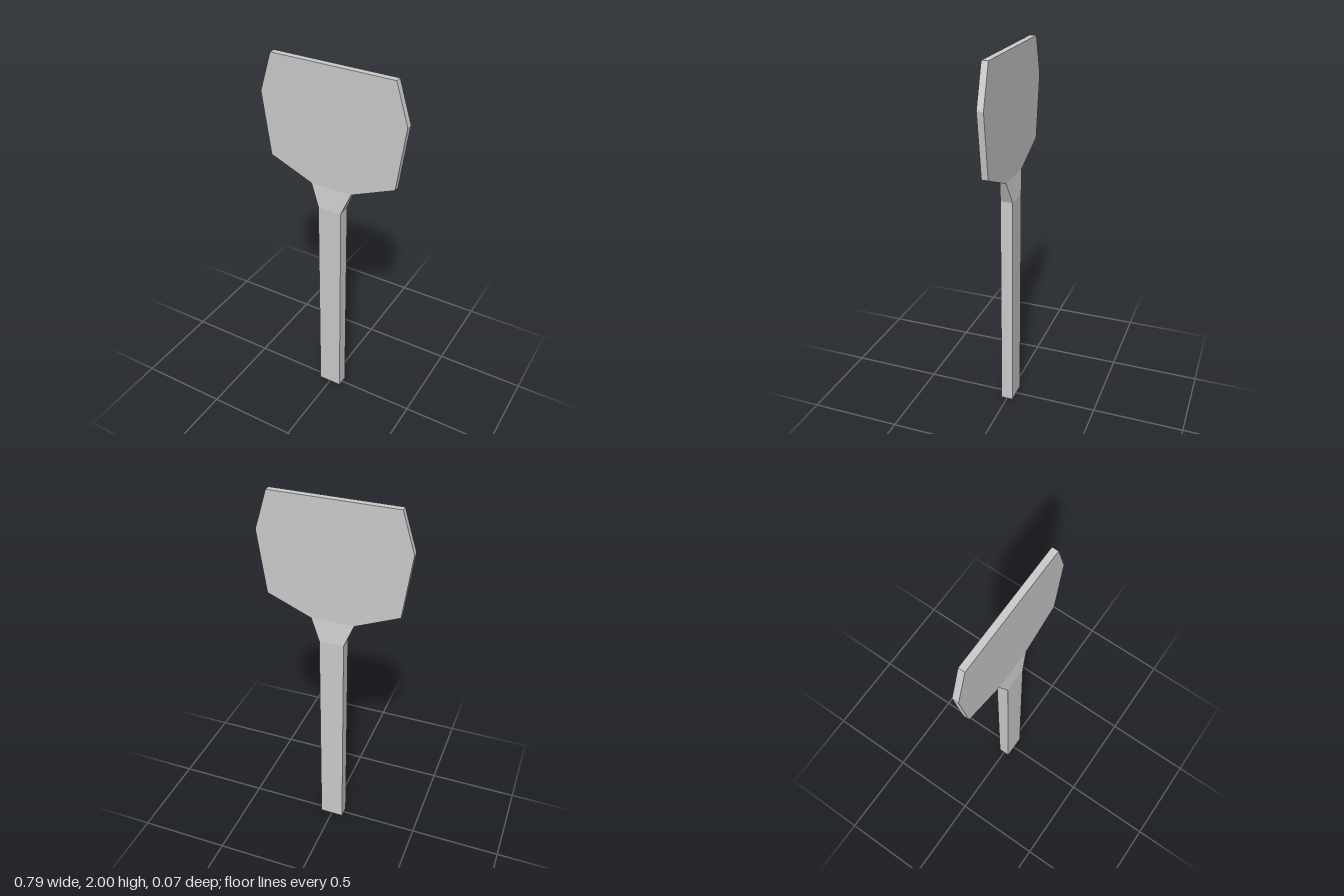
import * as THREE from 'three';

// Loft through rectangular sections [y, halfWidth, halfDepth], with optional end caps
function loft(sections, { bottom = false, top = false } = {}) {
  const rings = sections.map(([y, w, d]) => [[-w, y, d], [w, y, d], [w, y, -d], [-w, y, -d]]);
  const pos = [];
  const quad = (a, b, c, d) => pos.push(...a, ...b, ...c, ...a, ...c, ...d);
  for (let i = 0; i < rings.length - 1; i++) {
    const lo = rings[i], hi = rings[i + 1];
    for (let k = 0; k < 4; k++) {
      const n = (k + 1) % 4;
      quad(lo[k], lo[n], hi[n], hi[k]);
    }
  }
  if (bottom) quad(...[...rings[0]].reverse());
  if (top) quad(...rings[rings.length - 1]);
  const geometry = new THREE.BufferGeometry();
  geometry.setAttribute('position', new THREE.Float32BufferAttribute(pos, 3));
  geometry.computeVertexNormals();
  return geometry;
}

export function createModel() {
  const group = new THREE.Group();
  group.name = 'paddle';
  const grey = new THREE.MeshStandardMaterial({ color: 0xcccccc });
  grey.name = 'light grey';

  const add = (name, geometry) => {
    const mesh = new THREE.Mesh(geometry, grey);
    mesh.name = name;
    group.add(mesh);
  };

  // Sections shared between neighbouring parts
  const handleTop = [1.23, 0.066, 0.033];
  const neckTop = [1.35, 0.115, 0.017];

  // Straight square-edged grip
  add('handle', loft([[0, 0.066, 0.033], handleTop], { bottom: true }));
  // Flare that widens and thins into the blade
  add('neck', loft([handleTop, neckTop]));
  // Flat plate with angled shoulders and clipped upper corners
  add('blade', loft([neckTop, [1.45, 0.352, 0.017], [1.79, 0.397, 0.017], [2, 0.331, 0.017]], { top: true }));

  return group;
}
